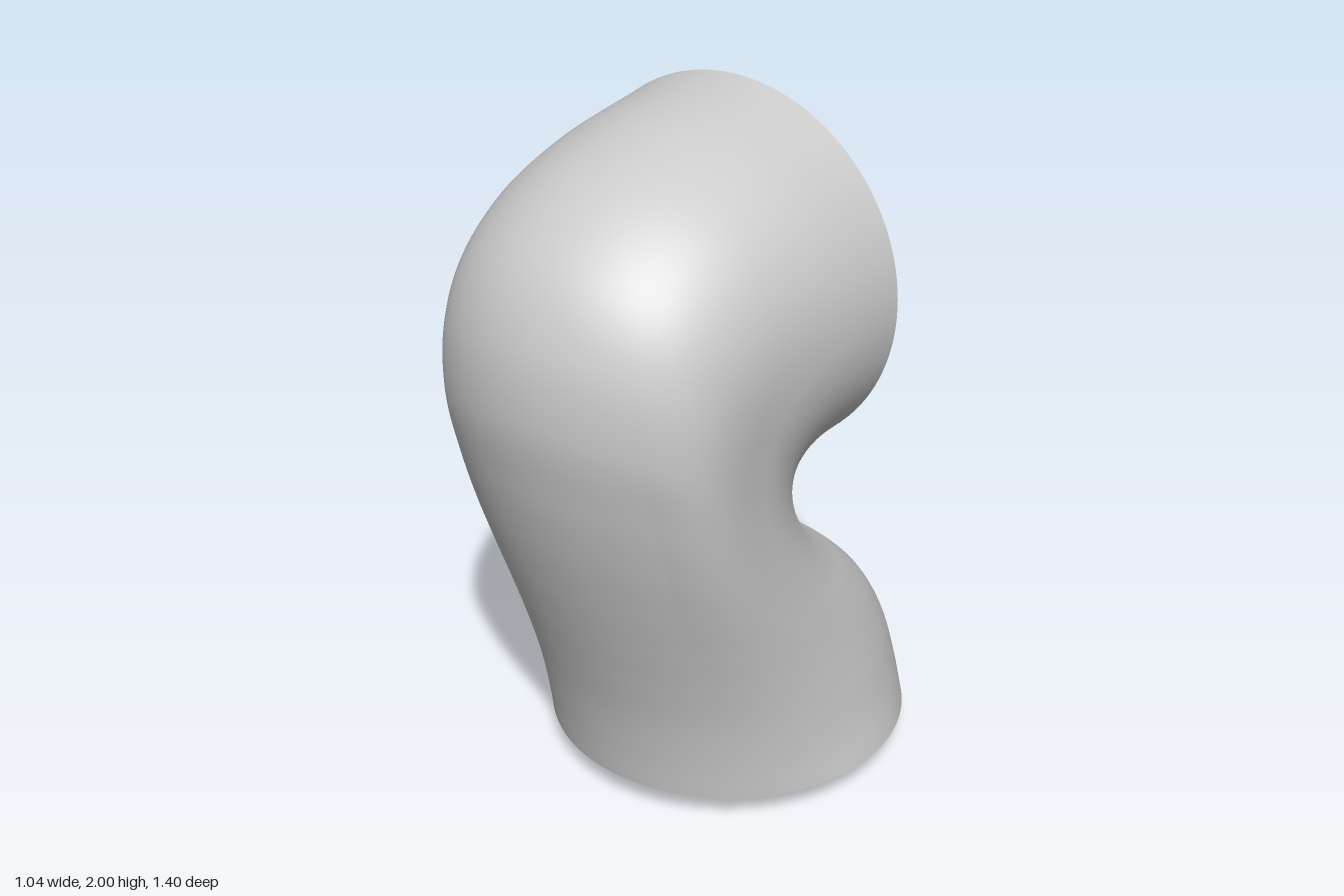
import * as THREE from 'three';
import { ParametricGeometry } from 'three/addons/geometries/ParametricGeometry.js';

const R = 0.52;                       // radius of both round ends
const CREASE = Math.asin(0.31 / R);   // half angle of the front panel
const PANEL = R * (1 - Math.cos(CREASE));
const END_Z = -0.175, END_Y = 1.48, BASE_Y = 0.088, PEG = 0.19;

// Matching stations up the body: half width, front y, front z, back y, back z
const stations = [
  [0.52, BASE_Y, 0.345, BASE_Y, -0.695],
  [0.495, 0.2, 0.365, 0.2, -0.686],
  [0.472, 0.35, 0.4, 0.33, -0.65],
  [0.453, 0.5, 0.448, 0.45, -0.575],
  [0.44, 0.65, 0.502, 0.55, -0.47],
  [0.431, 0.8, 0.557, 0.64, -0.35],
  [0.426, 0.97, 0.615, 0.74, -0.24],
  [0.425, 1.15, 0.665, 0.84, -0.165],
  [0.43, 1.35, 0.7, 0.89, -0.144],
  [0.443, 1.55, 0.682, 0.92, -0.14],
  [0.463, 1.72, 0.6, 0.938, -0.145],
  [0.485, 1.86, 0.43, 0.95, -0.155],
  [0.505, 1.95, 0.18, 0.957, -0.165],
  [R, 2, END_Z, END_Y - R, END_Z],
];
// The x of the front curve carries the half width
const front = new THREE.CatmullRomCurve3(stations.map(([w, y, z]) => new THREE.Vector3(w, y, z)));
const back = new THREE.CatmullRomCurve3(stations.map(([, , , y, z]) => new THREE.Vector3(0, y, z)));

// Point on the body at angle a round the section and t along the neck
function bodyPoint(a, t, target) {
  const f = front.getPoint(t), b = back.getPoint(t);
  const w = f.x;
  f.x = 0;
  const depth = f.distanceTo(b);
  const fold = a > Math.PI ? 2 * Math.PI - a : Math.abs(a);
  let d = R * (1 - Math.cos(fold)), half = R;
  if (fold > CREASE) {
    // Sides and back are squeezed to the section's depth and width
    d = PANEL + (d - PANEL) * (depth - PANEL) / (2 * R - PANEL);
    half = THREE.MathUtils.lerp(R, w, THREE.MathUtils.smoothstep(fold, CREASE, Math.PI / 2));
  }
  target.lerpVectors(f, b, d / depth);
  target.x = half * Math.sin(a);
}

function strip(a0, a1, slices) {
  return new ParametricGeometry(
    (u, v, target) => bodyPoint(THREE.MathUtils.lerp(a0, a1, u), v, target), slices, 96);
}

export function createModel() {
  const group = new THREE.Group();
  const material = new THREE.MeshStandardMaterial({ color: 0xcccccc });
  const inside = new THREE.MeshStandardMaterial({ color: 0xcccccc, side: THREE.DoubleSide });
  const add = (name, geometry, x, y, z, mat = material) => {
    const mesh = new THREE.Mesh(geometry, mat);
    mesh.name = name;
    mesh.position.set(x, y, z);
    group.add(mesh);
    return mesh;
  };

  // Curved body: a front panel and a wrap round the sides and back
  add('frontPanel', strip(-CREASE, CREASE, 24), 0, 0, 0);
  add('bodyWrap', strip(CREASE, 2 * Math.PI - CREASE, 96), 0, 0, 0);

  // Base: narrow chamfer, flat underside and round peg
  add('baseChamfer', new THREE.CylinderGeometry(R, 0.5, 0.008, 96, 1, true), 0, 0.084, END_Z);
  add('baseUnderside', new THREE.CircleGeometry(0.5, 96), 0, 0.08, END_Z).rotation.x = Math.PI / 2;
  add('basePeg', new THREE.CylinderGeometry(PEG, PEG, BASE_Y, 48), 0, BASE_Y / 2, END_Z);

  // Flat face at the upper back with a shallow round socket
  const depth = 0.08;
  add('jointFace', new THREE.RingGeometry(PEG, R, 96), 0, END_Y, END_Z).rotation.y = Math.PI;
  add('socketWall', new THREE.CylinderGeometry(PEG, PEG, depth, 48, 1, true),
    0, END_Y, END_Z + depth / 2, inside).rotation.x = Math.PI / 2;
  add('socketFloor', new THREE.CircleGeometry(PEG, 48), 0, END_Y, END_Z + depth).rotation.y = Math.PI;

  return group;
}
